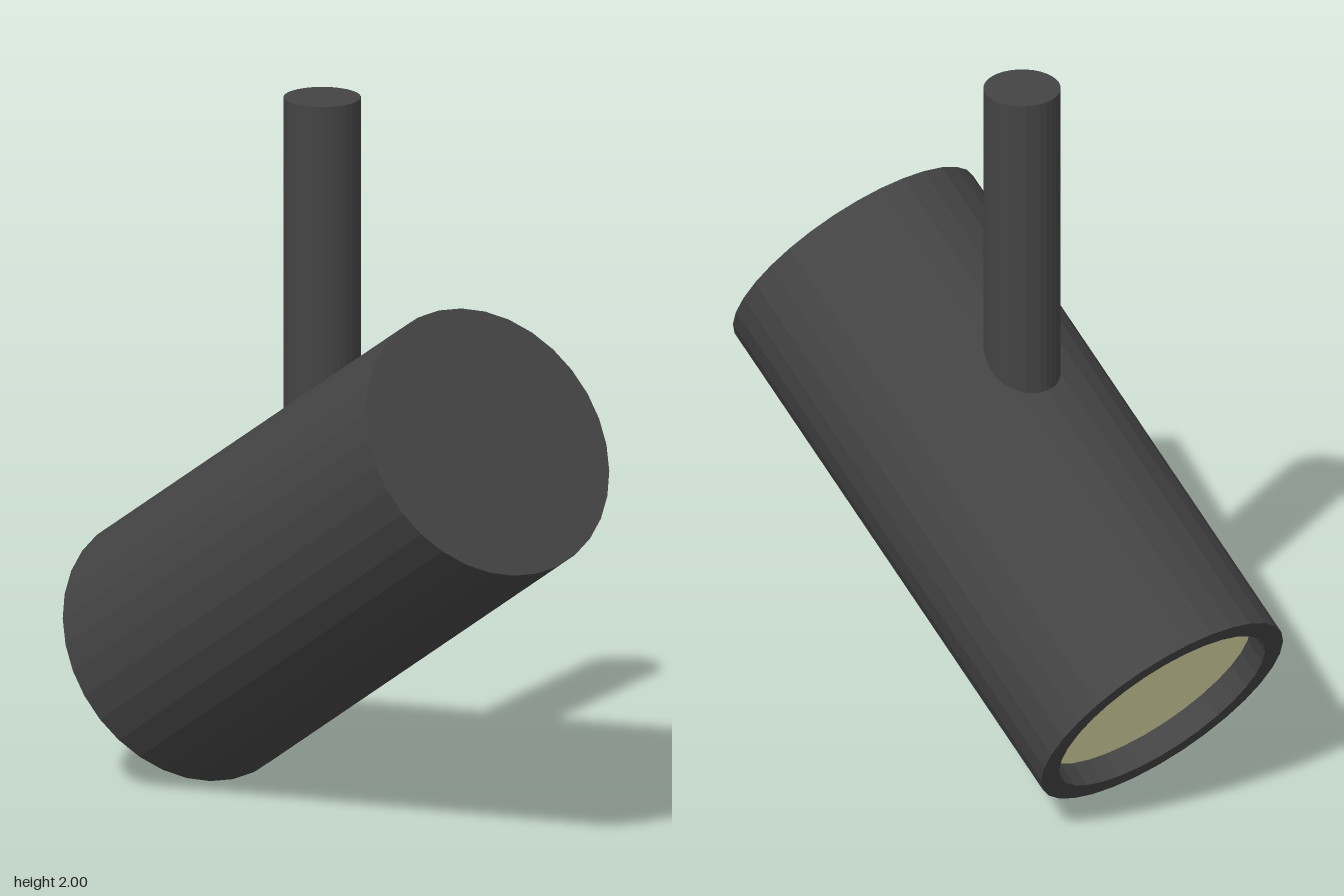
import * as THREE from 'three';

export function createModel() {
  const model = new THREE.Group();
  model.name = 'spotlight';

  const metal = new THREE.MeshStandardMaterial({ color: 0x444444, flatShading: true });
  metal.name = 'dark metal';
  const glow = new THREE.MeshStandardMaterial({ color: 0xffffc4 });
  glow.name = 'pale yellow lens';

  const segments = 32;
  const radius = 0.388, innerRadius = 0.33, half = 0.785, recess = 0.075;

  // Tilted lamp head: closed end up and forward, open end down and back
  const head = new THREE.Group();
  head.name = 'lampHead';
  head.position.y = 0.754;
  head.rotation.x = THREE.MathUtils.degToRad(57);
  model.add(head);

  // Housing with rim and recessed inner wall
  const profile = [
    [innerRadius, -half + recess],
    [innerRadius, -half],
    [radius, -half],
    [radius, half],
    [0, half],
  ].map(([x, y]) => new THREE.Vector2(x, y));
  const housing = new THREE.Mesh(new THREE.LatheGeometry(profile, segments), metal);
  housing.name = 'housing';
  head.add(housing);

  // Lens set inside the open end
  const lens = new THREE.Mesh(new THREE.CircleGeometry(innerRadius, segments).rotateX(Math.PI / 2), glow);
  lens.name = 'lens';
  lens.position.y = -half + recess;
  head.add(lens);

  // Vertical mounting rod, sunk into the housing
  const bottom = 0.8, top = 2;
  const rod = new THREE.Mesh(new THREE.CylinderGeometry(0.105, 0.105, top - bottom, segments), metal);
  rod.name = 'mountingRod';
  rod.position.set(0, (top + bottom) / 2, -0.06);
  model.add(rod);

  return model;
}
